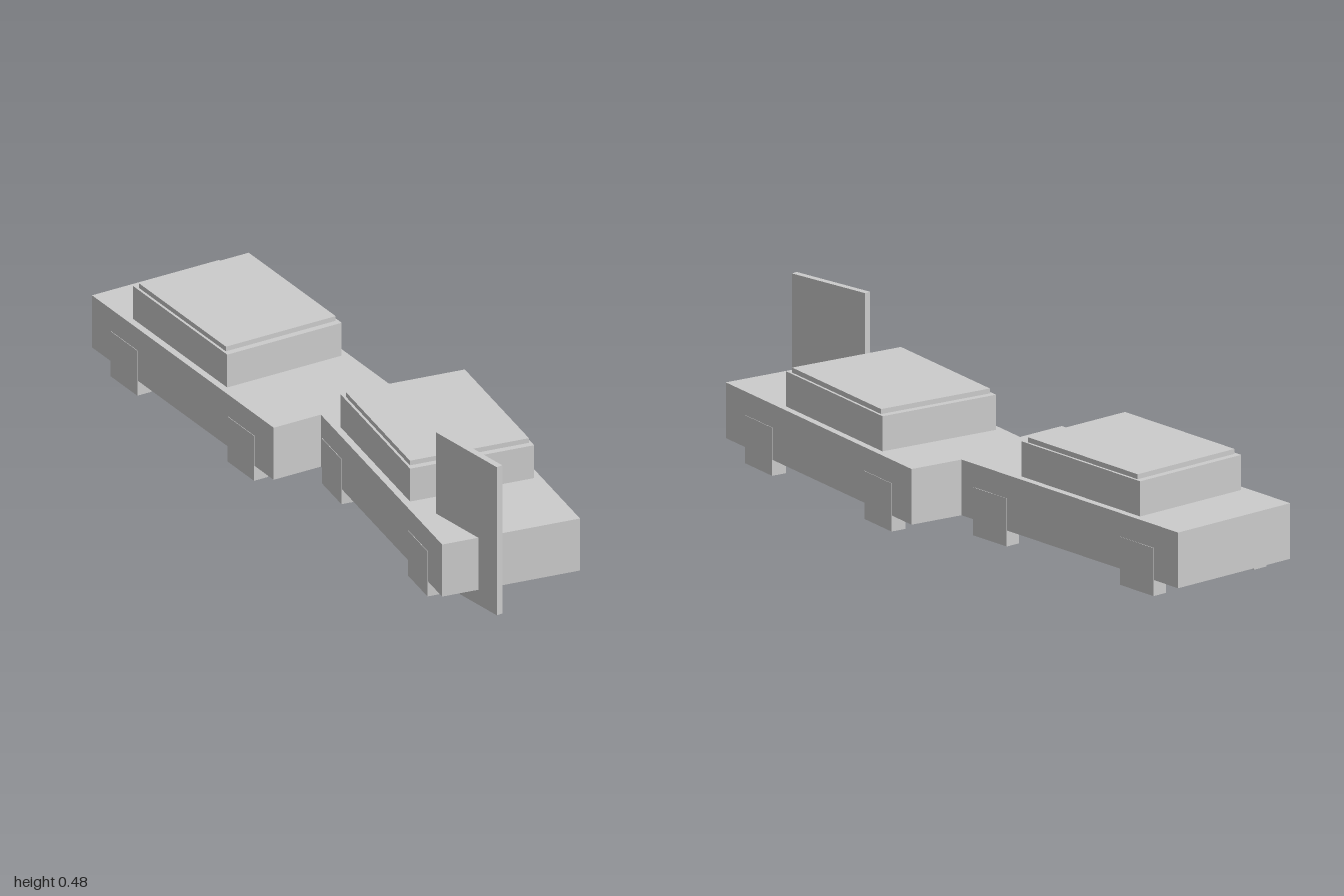
import * as THREE from 'three';

const grey = new THREE.MeshStandardMaterial({ color: 0xcccccc });
grey.name = 'plain grey';

// Box placed by its centre in x and z and by its bottom and top in y
function block(name, [w, d], [y0, y1], x = 0, z = 0) {
  const mesh = new THREE.Mesh(new THREE.BoxGeometry(w, y1 - y0, d), grey);
  mesh.name = name;
  mesh.position.set(x, (y0 + y1) / 2, z);
  return mesh;
}

// Simple block car, long along its local x
function makeCar(name, x, z, degrees) {
  const car = new THREE.Group();
  car.name = name;
  car.add(
    block('body', [0.996, 0.431], [0.048, 0.216]),
    block('cabin', [0.517, 0.388], [0.216, 0.322], -0.05),
    block('roof', [0.477, 0.372], [0.322, 0.337], -0.05)
  );
  // Wheels sit just proud of the body sides
  for (const sx of [-1, 1]) {
    for (const sz of [-1, 1]) {
      car.add(block('wheel', [0.146, 0.048], [0, 0.145], sx * 0.32, sz * 0.193));
    }
  }
  car.position.set(x, 0, z);
  car.rotation.y = THREE.MathUtils.degToRad(-degrees);
  return car;
}

export function createModel() {
  const model = new THREE.Group();
  model.name = 'collidedCars';

  // Two cars meeting end to end
  model.add(makeCar('rightCar', -0.482, 0.011, 5.2));
  model.add(makeCar('leftCar', 0.453, 0.001, 14.1));

  // Upright panel cutting the corner of one car
  const panel = block('uprightPanel', [0.285, 0.02], [0, 0.478], 0.855, 0.213);
  panel.rotation.y = THREE.MathUtils.degToRad(1.2);
  model.add(panel);

  return model;
}
